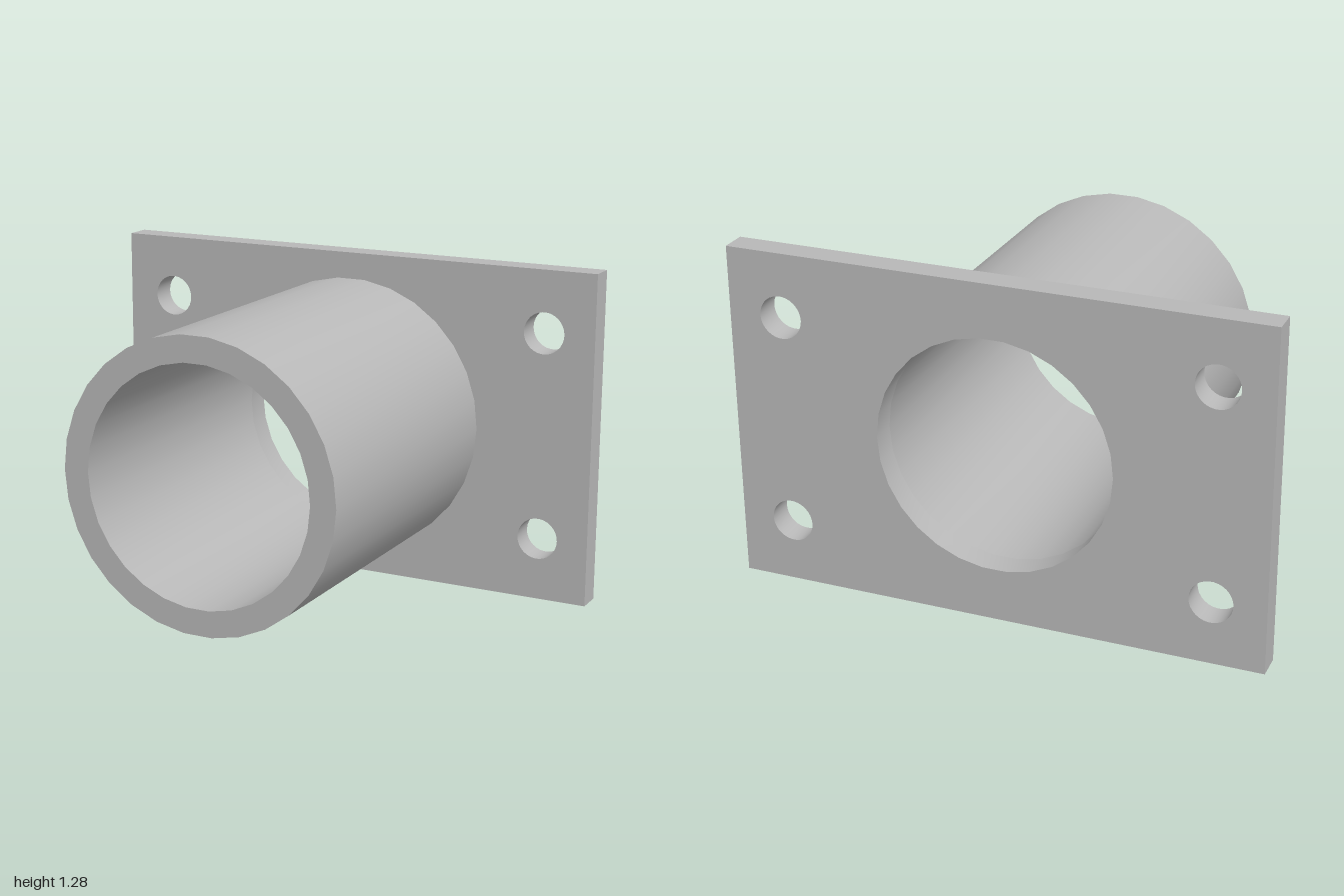
import * as THREE from 'three';
import { toCreasedNormals } from 'three/addons/utils/BufferGeometryUtils.js';

const CENTER_Y = 0.64;
const OUTER = 0.54, BORE = 0.442;
const BACK = -0.65, PLATE_FRONT = -0.55, TUBE_FRONT = 0.65;

function circle(PathType, x, y, r, clockwise = false) {
  const path = new PathType();
  path.absarc(x, y, r, 0, Math.PI * 2, clockwise);
  return path;
}

// Extrude a profile between two depths, smooth on curves and sharp at rims
function extrude(shape, z0, z1) {
  const geometry = new THREE.ExtrudeGeometry(shape, {
    depth: z1 - z0, bevelEnabled: false, curveSegments: 15,
  });
  geometry.translate(0, CENTER_Y, z0);
  return toCreasedNormals(geometry, Math.PI / 5);
}

export function createModel() {
  const group = new THREE.Group();
  group.name = 'flangedTube';
  const steel = new THREE.MeshStandardMaterial({ color: 0xb8b8b8 });
  steel.name = 'plain grey steel';

  // Mounting plate with the central bore and four bolt holes
  const plateShape = new THREE.Shape([
    new THREE.Vector2(-1, -0.64), new THREE.Vector2(1, -0.64),
    new THREE.Vector2(1, 0.64), new THREE.Vector2(-1, 0.64),
  ]);
  plateShape.holes.push(circle(THREE.Path, 0, 0, BORE, true));
  for (const x of [-0.8, 0.8]) {
    for (const y of [-0.4, 0.4]) {
      plateShape.holes.push(circle(THREE.Path, x, y, 0.08, true));
    }
  }
  const plate = new THREE.Mesh(extrude(plateShape, BACK, PLATE_FRONT), steel);
  plate.name = 'mountingPlate';
  group.add(plate);

  // Tube standing out from the front of the plate
  const ring = circle(THREE.Shape, 0, 0, OUTER);
  ring.holes.push(circle(THREE.Path, 0, 0, BORE, true));
  const tube = new THREE.Mesh(extrude(ring, PLATE_FRONT, TUBE_FRONT), steel);
  tube.name = 'tube';
  group.add(tube);

  return group;
}
